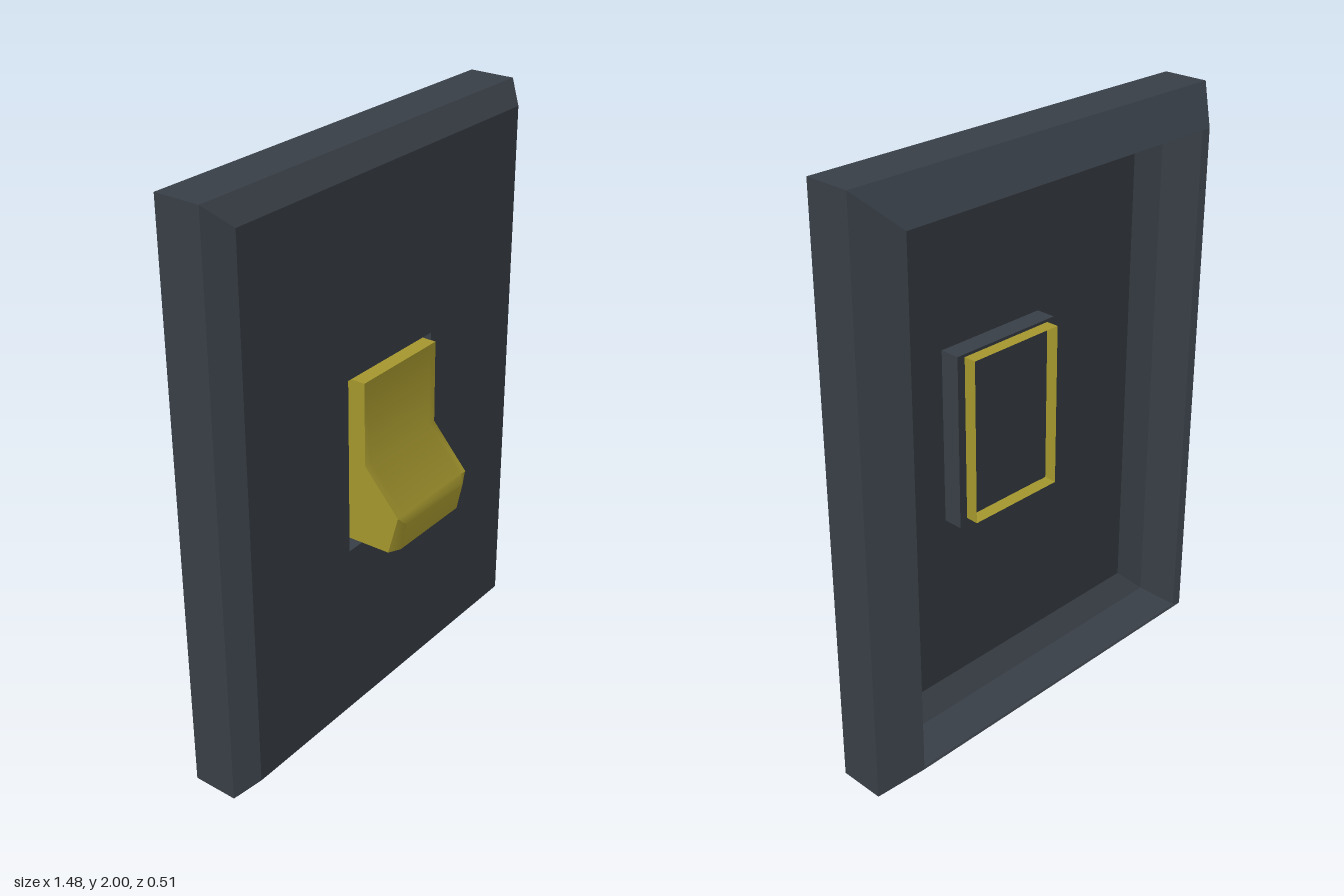
import * as THREE from 'three';
import { toCreasedNormals } from 'three/addons/utils/BufferGeometryUtils.js';

const plateMaterial = new THREE.MeshStandardMaterial({ color: 0x383e46, side: THREE.DoubleSide });
const rockerMaterial = new THREE.MeshStandardMaterial({ color: 0xa4962e, side: THREE.DoubleSide });

// Skin a grid of rows of points; creases sharper than the angle stay hard.
function skin(rows, crease) {
  const pos = [];
  for (let i = 0; i < rows.length - 1; i++) {
    for (let j = 0; j < rows[i].length - 1; j++) {
      const a = rows[i][j], b = rows[i][j + 1], c = rows[i + 1][j + 1], d = rows[i + 1][j];
      pos.push(...a, ...d, ...c, ...a, ...c, ...b);
    }
  }
  const g = new THREE.BufferGeometry();
  g.setAttribute('position', new THREE.Float32BufferAttribute(pos, 3));
  g.computeVertexNormals();
  return crease ? toCreasedNormals(g, crease) : g;
}

// Closed rectangle around the plate centre: half width, half height, depth.
function ring([w, h, z]) {
  return [[w, h], [w, -h], [-w, -h], [-w, h], [w, h]].map(([x, y]) => [x, y + 1, z]);
}

function addMesh(parent, name, geometry, material) {
  const mesh = new THREE.Mesh(geometry, material);
  mesh.name = name;
  parent.add(mesh);
  return mesh;
}

export function createModel() {
  const model = new THREE.Group();
  model.name = 'wallSwitch';

  // Thin wall plate: back chamfer, side, front bevel, front panel up to the opening
  const plate = [
    [0.635, 0.89, -0.255], [0.74, 1, -0.15], [0.74, 1, 0.01],
    [0.677, 0.933, 0.075], [0.215, 0.305, 0.075],
  ];
  addMesh(model, 'wallPlate', skin(plate.map(ring)), plateMaterial);

  // Shallow pocket sunk into the panel behind the rocker
  const pocket = [[0.215, 0.305, 0.075], [0.215, 0.305, 0.005]];
  addMesh(model, 'pocketWalls', skin(pocket.map(ring)), plateMaterial);
  const floor = addMesh(model, 'pocketFloor', new THREE.PlaneGeometry(0.43, 0.61), plateMaterial);
  floor.position.set(0, 1, 0.005);

  // Rocker: [y, z] at the side faces, then [y, z] inside the chamfered lip corners
  const rocker = new THREE.Group();
  rocker.name = 'rocker';
  model.add(rocker);
  const profile = [
    [1.295, -0.04, 1.295, -0.04],
    [1.295, 0.113, 1.295, 0.113],
    [1.01, 0.115, 1.01, 0.115],
    [0.865, 0.243, 0.865, 0.243],
    [0.855, 0.24, 0.835, 0.254],
    [0.727, 0.206, 0.735, 0.233],
    [0.72, -0.04, 0.72, -0.04],
  ];
  const rows = profile.map(([ys, zs, yi, zi]) =>
    [[-0.185, ys, zs], [-0.155, yi, zi], [0.155, yi, zi], [0.185, ys, zs]]);
  addMesh(rocker, 'rockerFace', skin(rows, 0.74), rockerMaterial);

  // Flat side walls, mirrored; the rocker stays open at the back
  const outline = new THREE.Shape(profile.map(([y, z]) => new THREE.Vector2(z, y)));
  const side = new THREE.ShapeGeometry(outline).rotateY(-Math.PI / 2).translate(-0.185, 0, 0);
  addMesh(rocker, 'rightSide', side, rockerMaterial);
  addMesh(rocker, 'leftSide', side, rockerMaterial).scale.x = -1;

  return model;
}
